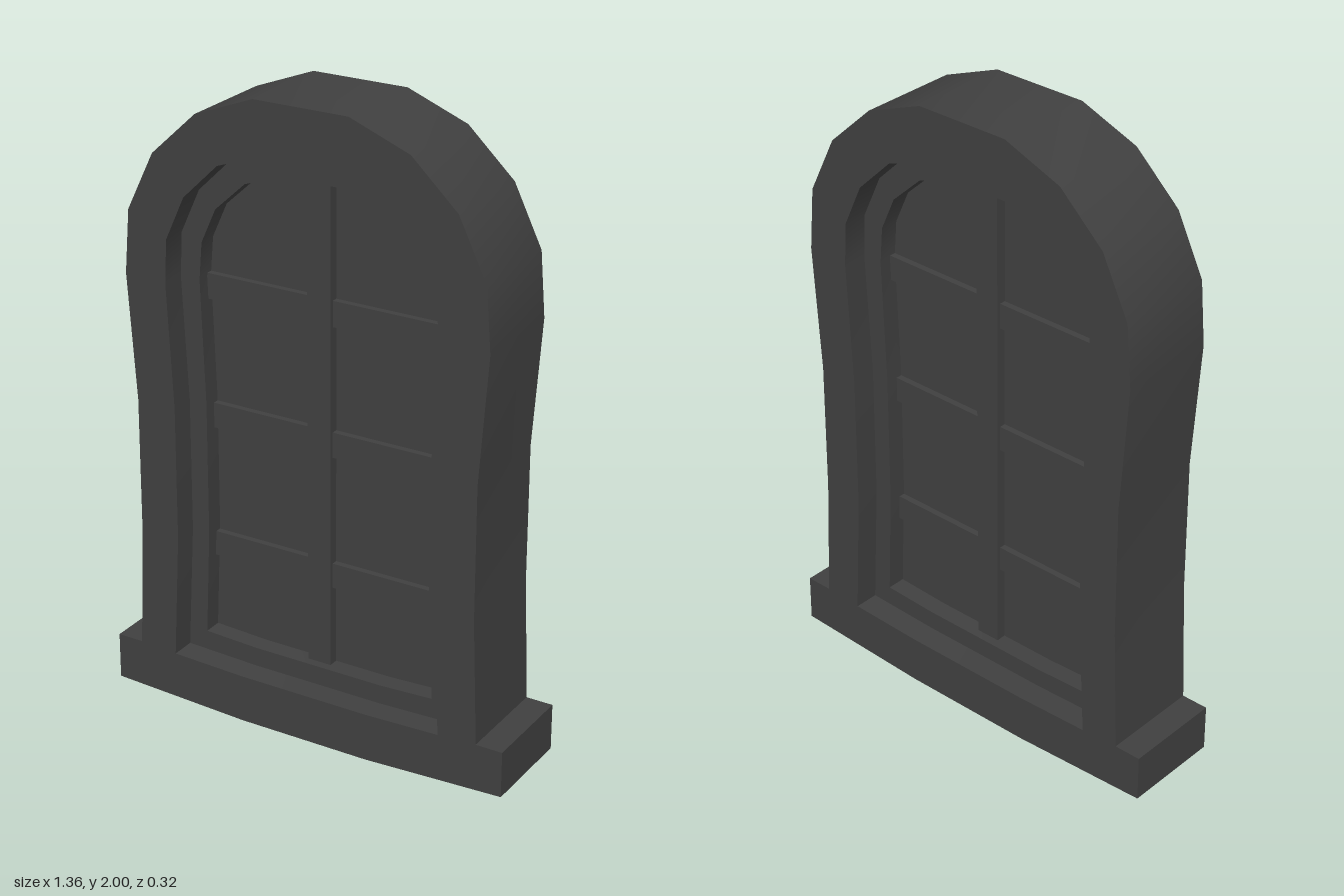
import * as THREE from 'three';
import { toCreasedNormals } from 'three/addons/utils/BufferGeometryUtils.js';

const material = new THREE.MeshStandardMaterial({ color: 0x404040 });

// Right half outlines, bottom to top; the left half is mirrored
const outer = [[0.22, 0], [0.68, 0.02], [0.68, 0.17], [0.593, 0.17], [0.577, 0.57], [0.577, 1.0],
  [0.606, 1.4], [0.59, 1.6], [0.5, 1.785], [0.35, 1.925], [0.155, 2.0]];
const opening = [[0.22, 0.155], [0.466, 0.163], [0.445, 0.57], [0.445, 1.0], [0.466, 1.39],
  [0.459, 1.53], [0.395, 1.67], [0.277, 1.785], [0.125, 1.84]];
const paneEdge = [[0.22, 0.217], [0.4, 0.225], [0.385, 0.57], [0.385, 1.0], [0.4, 1.39],
  [0.39, 1.51], [0.34, 1.62], [0.237, 1.715], [0.107, 1.76]];

const mirrored = (half) => [...half, ...half.map(([x, y]) => [-x, y]).reverse()]
  .map(([x, y]) => new THREE.Vector2(x, y));

// Slab centred on z = 0, with an optional hole
function slab(name, outline, hole, halfDepth) {
  const shape = new THREE.Shape(mirrored(outline));
  if (hole) shape.holes.push(new THREE.Path(mirrored(hole)));
  const geometry = new THREE.ExtrudeGeometry(shape, { depth: 2 * halfDepth, bevelEnabled: false });
  geometry.translate(0, 0, -halfDepth);
  const mesh = new THREE.Mesh(toCreasedNormals(geometry, 0.6), material);
  mesh.name = name;
  return mesh;
}

function bar(name, x0, x1, y0, y1, z1) {
  const mesh = new THREE.Mesh(new THREE.BoxGeometry(x1 - x0, y1 - y0, z1), material);
  mesh.position.set((x0 + x1) / 2, (y0 + y1) / 2, z1 / 2);
  mesh.name = name;
  return mesh;
}

// Glazing bars for one face
function glazingBars(name) {
  const group = new THREE.Group();
  group.name = name;
  group.add(bar('uprightBar', -0.047, 0.032, 0.2, 1.78, 0.052));
  for (const y of [0.477, 0.907, 1.32]) group.add(bar('crossBar', -0.41, 0.41, y, y + 0.081, 0.04));
  return group;
}

export function createModel() {
  const model = new THREE.Group();
  model.name = 'archedWindow';
  model.add(slab('frameAndSill', outer, opening, 0.16));
  model.add(slab('sash', opening, paneEdge, 0.08));
  model.add(slab('pane', paneEdge, null, 0.02));

  // Front bars and the same set turned to the back
  const back = glazingBars('backBars');
  back.rotation.y = Math.PI;
  model.add(glazingBars('frontBars'), back);
  return model;
}
